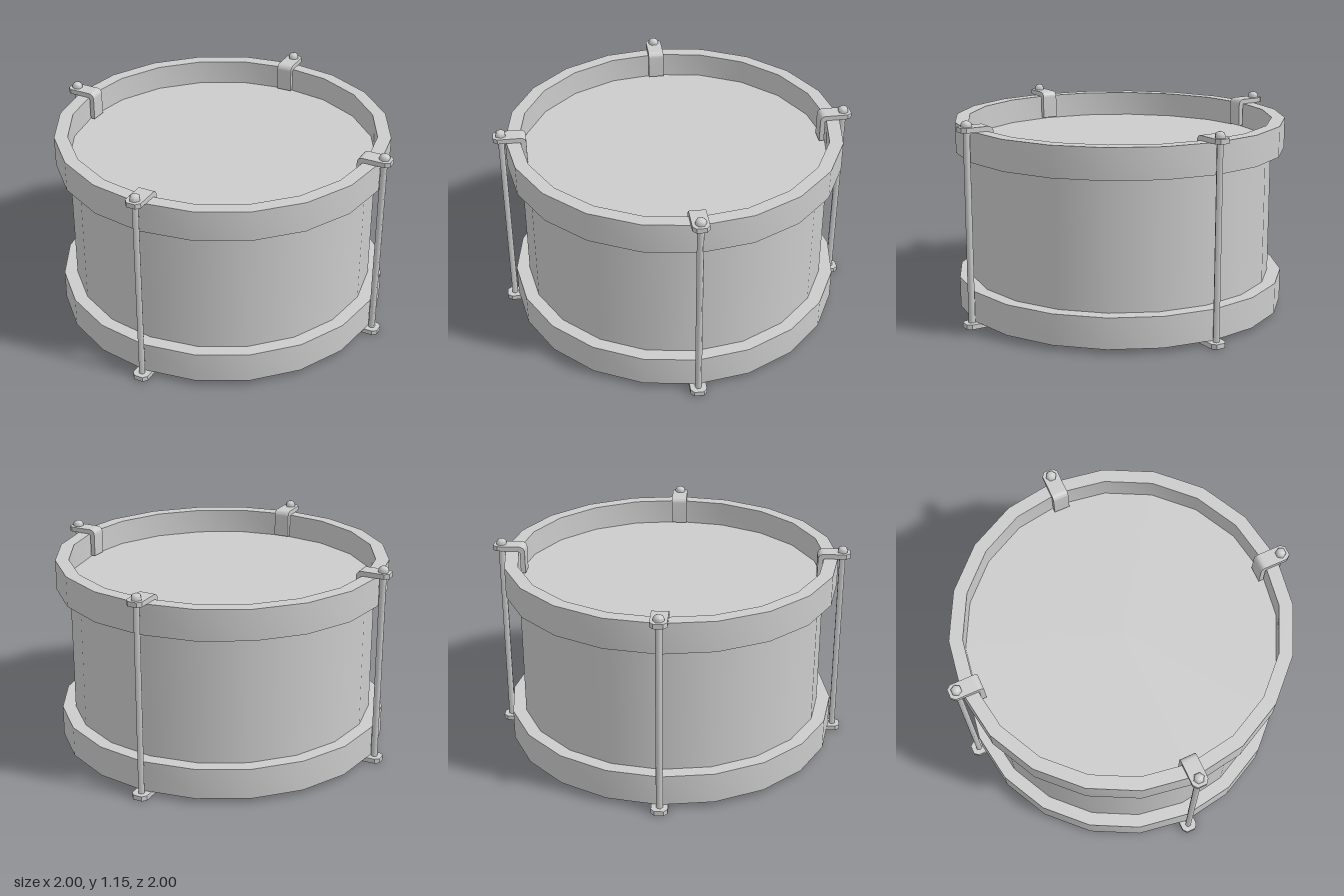
import * as THREE from 'three';
import { mergeGeometries, toCreasedNormals } from 'three/addons/utils/BufferGeometryUtils.js';

const SIDES = 20, SHELL_R = 0.86, HOOP_R = 0.935, TOP = 1.117, PLATE = 0.027, ROD_X = 0.957;
const material = new THREE.MeshStandardMaterial({ color: 0xcccccc });

function part(name, geometry) {
  const mesh = new THREE.Mesh(geometry, material);
  mesh.name = name;
  return mesh;
}

const lathe = (points, sides) =>
  new THREE.LatheGeometry(points.map(([r, y]) => new THREE.Vector2(r, y)), sides);

// Rectangular ring around one end of the shell
function hoopGeometry(y0, y1) {
  return toCreasedNormals(lathe([
    [SHELL_R, y0], [HOOP_R, y0], [HOOP_R, y1], [SHELL_R, y1], [SHELL_R, y0],
  ], SIDES), 0.6);
}

// Claw: flat tongue with a clipped tip, bent down along the inside of the hoop
function clawGeometry() {
  const w = 0.045, joint = 0.87, under = TOP - PLATE;
  const plan = new THREE.Shape([
    [joint, -w], [0.976, -w], [1, -0.026], [1, 0.026], [0.976, w], [joint, w],
  ].map(([x, y]) => new THREE.Vector2(x, y)));
  const tongue = new THREE.ExtrudeGeometry(plan, { depth: PLATE, bevelEnabled: false });
  tongue.rotateX(-Math.PI / 2).translate(0, under, 0);

  const bend = new THREE.Shape();
  bend.moveTo(joint, under);
  bend.lineTo(joint, TOP);
  bend.lineTo(0.85, TOP);
  bend.absarc(0.85, TOP - 0.03, 0.03, Math.PI / 2, Math.PI, false);
  bend.lineTo(0.82, 0.96);
  bend.lineTo(0.847, 0.96);
  bend.lineTo(0.847, under - 0.008);
  bend.lineTo(0.855, under);
  const leg = new THREE.ExtrudeGeometry(bend, { depth: 2 * w, bevelEnabled: false, curveSegments: 5 });
  leg.translate(0, 0, -w);
  return toCreasedNormals(mergeGeometries([tongue, leg]), 0.6);
}

export function createModel() {
  const drum = new THREE.Group();
  drum.name = 'drum';

  // Shell with its two recessed heads
  const shell = part('shellAndHeads', new THREE.CylinderGeometry(SHELL_R, SHELL_R, 0.78, SIDES));
  shell.position.y = 0.56;
  drum.add(shell);

  drum.add(part('topHoop', hoopGeometry(0.92, TOP - PLATE)));
  drum.add(part('bottomHoop', hoopGeometry(PLATE, 0.2)));

  // Four tension rods, each with a claw at both ends and a domed nut on top
  const claw = clawGeometry();
  const rodGeometry = new THREE.CylinderGeometry(0.0185, 0.0185, TOP - 0.03, 6);
  const nutGeometry = lathe([
    [0.03, TOP - 0.002], [0.03, 1.129], [0.025, 1.141], [0.014, 1.148], [0, 1.15],
  ], 6);
  for (let i = 0; i < 4; i++) {
    const tension = new THREE.Group();
    tension.name = 'tensionRod' + (i + 1);
    tension.rotation.y = i * Math.PI / 2;

    const rod = part('rod', rodGeometry);
    rod.position.set(ROD_X, TOP / 2, 0);
    const nut = part('nut', nutGeometry);
    nut.position.x = ROD_X;
    const bottomClaw = part('bottomClaw', claw);
    bottomClaw.rotation.x = Math.PI;
    bottomClaw.position.y = TOP;

    tension.add(rod, nut, part('topClaw', claw), bottomClaw);
    drum.add(tension);
  }
  return drum;
}
